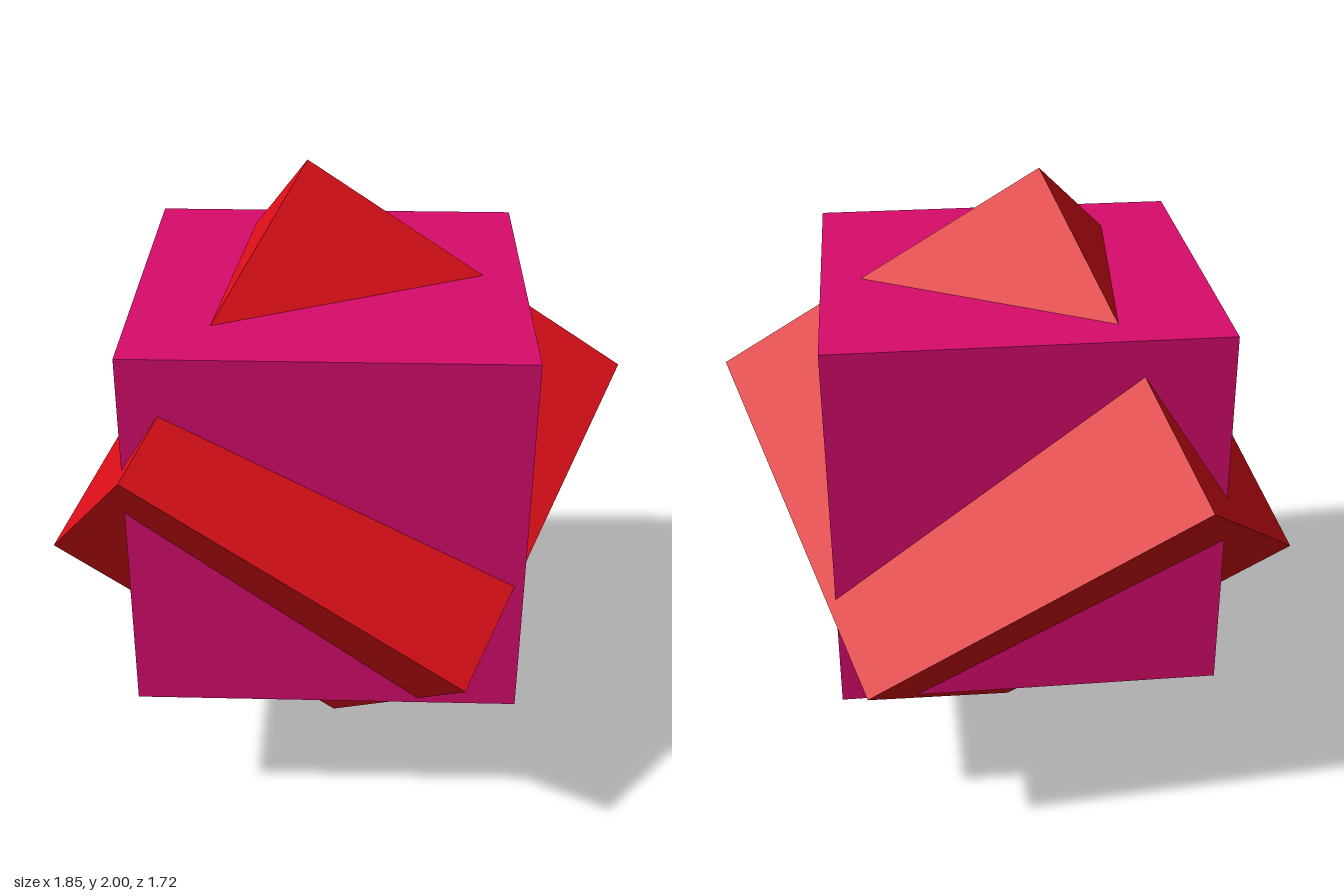
import * as THREE from 'three';

function cube(name, size, color) {
  const mesh = new THREE.Mesh(
    new THREE.BoxGeometry(size, size, size),
    new THREE.MeshStandardMaterial({ color, flatShading: true })
  );
  mesh.name = name;
  return mesh;
}

export function createModel() {
  const model = new THREE.Group();
  model.name = 'interlockedCubes';

  // Upright cube, slightly off centre
  const upright = cube('uprightCube', 1.166, 0xd80c6c);
  upright.position.set(0.032, 1.072, 0.027);

  // Tilted cube standing on one corner; its axes are the edges leaving the top corner
  const tilted = cube('tiltedCube', 1.157, 0xe00f18);
  const x = new THREE.Vector3(0.97, -0.62, 0.09).normalize();
  const z = x.clone().cross(new THREE.Vector3(-0.485, -0.645, 0.825)).normalize();
  const y = z.clone().cross(x);
  tilted.quaternion.setFromRotationMatrix(new THREE.Matrix4().makeBasis(x, y, z));
  tilted.position.set(0, 1, 0);

  model.add(upright, tilted);
  return model;
}
